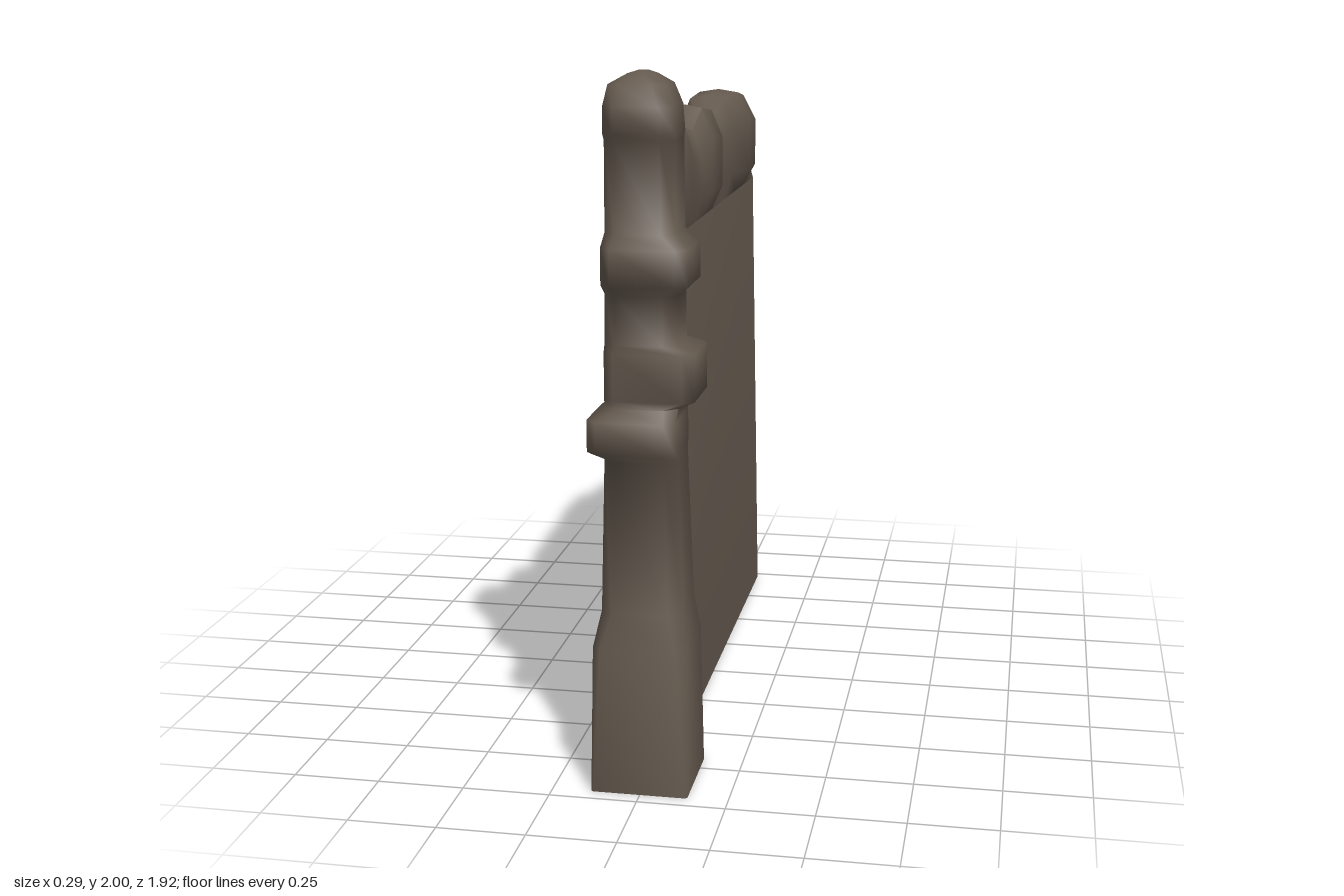
import * as THREE from 'three';
import { toCreasedNormals } from 'three/addons/utils/BufferGeometryUtils.js';

// Skin over rings of points; each ring runs anticlockwise about the sweep direction
function loft(rings, crease, startCap) {
  const n = rings[0].length, pts = rings.flat(), index = [];
  for (let i = 0; i < rings.length - 1; i++) {
    for (let j = 0; j < n; j++) {
      const a = i * n + j, b = i * n + (j + 1) % n;
      index.push(a, b, b + n, a, b + n, a + n);
    }
  }
  const last = (rings.length - 1) * n;
  for (let j = 1; j < n - 1; j++) {
    if (startCap) index.push(0, j + 1, j);
    index.push(last, last + j, last + j + 1);
  }
  const geo = new THREE.BufferGeometry();
  geo.setAttribute('position', new THREE.Float32BufferAttribute(pts.flat(), 3));
  geo.setIndex(index);
  return toCreasedNormals(geo, crease);
}

// Square ring with cut corners around the post
function postRing([y, x0, x1, z0, z1, c]) {
  return [
    [x1 - c, y, z0], [x0 + c, y, z0], [x0, y, z0 + c], [x0, y, z1 - c],
    [x0 + c, y, z1], [x1 - c, y, z1], [x1, y, z1 - c], [x1, y, z0 + c],
  ].reverse();
}

// Rounded lump section across the wall top, on a straight narrow foot
function copingRing([z, top, x0, x1]) {
  const m = (x0 + x1) / 2, h = (x1 - x0) / 2;
  return [
    [-0.06, 1.52, z], [0.035, 1.52, z], [x1, 1.6, z], [x1, top - 0.09, z],
    [m + h * 0.6, top - 0.01, z], [m, top, z], [m - h * 0.6, top - 0.01, z],
    [x0, top - 0.09, z], [x0, 1.6, z],
  ];
}

export function createModel() {
  const group = new THREE.Group();
  const stone = new THREE.MeshStandardMaterial({ color: 0x655a4f, side: THREE.DoubleSide });
  stone.name = 'brown stone';
  const add = (name, geo) => {
    const mesh = new THREE.Mesh(geo, stone);
    mesh.name = name;
    group.add(mesh);
  };

  // Post, open below, with three bands each pushed out to one side:
  // y, left x, right x, back z, front z, corner cut
  add('post', loft([
    [0, -0.14, 0.135, 0.68, 0.956, 0.006],
    [0.42, -0.135, 0.13, 0.685, 0.956, 0.025],
    [0.52, -0.115, 0.115, 0.7, 0.935, 0.035],
    [0.95, -0.107, 0.1, 0.712, 0.918, 0.035],
    // lower band
    [0.98, -0.145, 0.1, 0.712, 0.96, 0.03],
    [1.07, -0.145, 0.1, 0.712, 0.96, 0.03],
    [1.1, -0.105, 0.1, 0.714, 0.918, 0.035],
    // middle band
    [1.12, -0.105, 0.145, 0.67, 0.918, 0.03],
    [1.25, -0.105, 0.145, 0.67, 0.918, 0.03],
    [1.275, -0.103, 0.098, 0.715, 0.918, 0.035],
    [1.41, -0.102, 0.097, 0.715, 0.918, 0.035],
    // upper band
    [1.44, -0.102, 0.135, 0.715, 0.96, 0.03],
    [1.54, -0.102, 0.135, 0.715, 0.96, 0.03],
    [1.575, -0.1, 0.095, 0.715, 0.918, 0.035],
    // head
    [1.82, -0.1, 0.092, 0.717, 0.915, 0.035],
    [1.84, -0.1, 0.095, 0.717, 0.935, 0.035],
    [1.91, -0.1, 0.09, 0.719, 0.93, 0.035],
    [1.965, -0.092, 0.068, 0.725, 0.9, 0.035],
    [1.992, -0.045, 0.03, 0.77, 0.86, 0.025],
    [2.0, -0.02, 0.01, 0.8, 0.83, 0.01],
  ].map(postRing), 1.7, false));

  // Wall sheet, leaning over along its top edge
  const wall = new THREE.PlaneGeometry(1, 1, 1, 2);
  const rows = [[-0.03, 1.69, -0.96], [0.02, 1.51, -0.958], [0.05, 0.01, -0.943]];
  rows.forEach(([x, y, end], r) => {
    wall.attributes.position.setXYZ(r * 2, x, y, 0.74);
    wall.attributes.position.setXYZ(r * 2 + 1, x, y, end);
  });
  add('wallPanel', toCreasedNormals(wall, 0.6));

  // Lumpy coping: z, top height, left x, right x
  add('wallCoping', loft([
    [-0.84, 1.77, -0.07, 0.025], [-0.64, 1.81, -0.09, 0.055], [-0.58, 1.84, -0.12, 0.085],
    [-0.43, 1.86, -0.12, 0.09], [-0.27, 1.85, -0.115, 0.055], [-0.22, 1.81, -0.085, 0.04],
    [-0.19, 1.805, -0.125, 0.04], [-0.05, 1.785, -0.135, 0.04], [-0.01, 1.78, -0.1, 0.05],
    [0.03, 1.84, -0.095, 0.075], [0.2, 1.86, -0.095, 0.075], [0.25, 1.8, -0.09, 0.05],
    [0.39, 1.81, -0.085, 0.05], [0.43, 1.86, -0.11, 0.05], [0.58, 1.86, -0.11, 0.05],
    [0.62, 1.8, -0.085, 0.045], [0.74, 1.78, -0.08, 0.035],
  ].map(copingRing), 1.1, true));

  return group;
}
